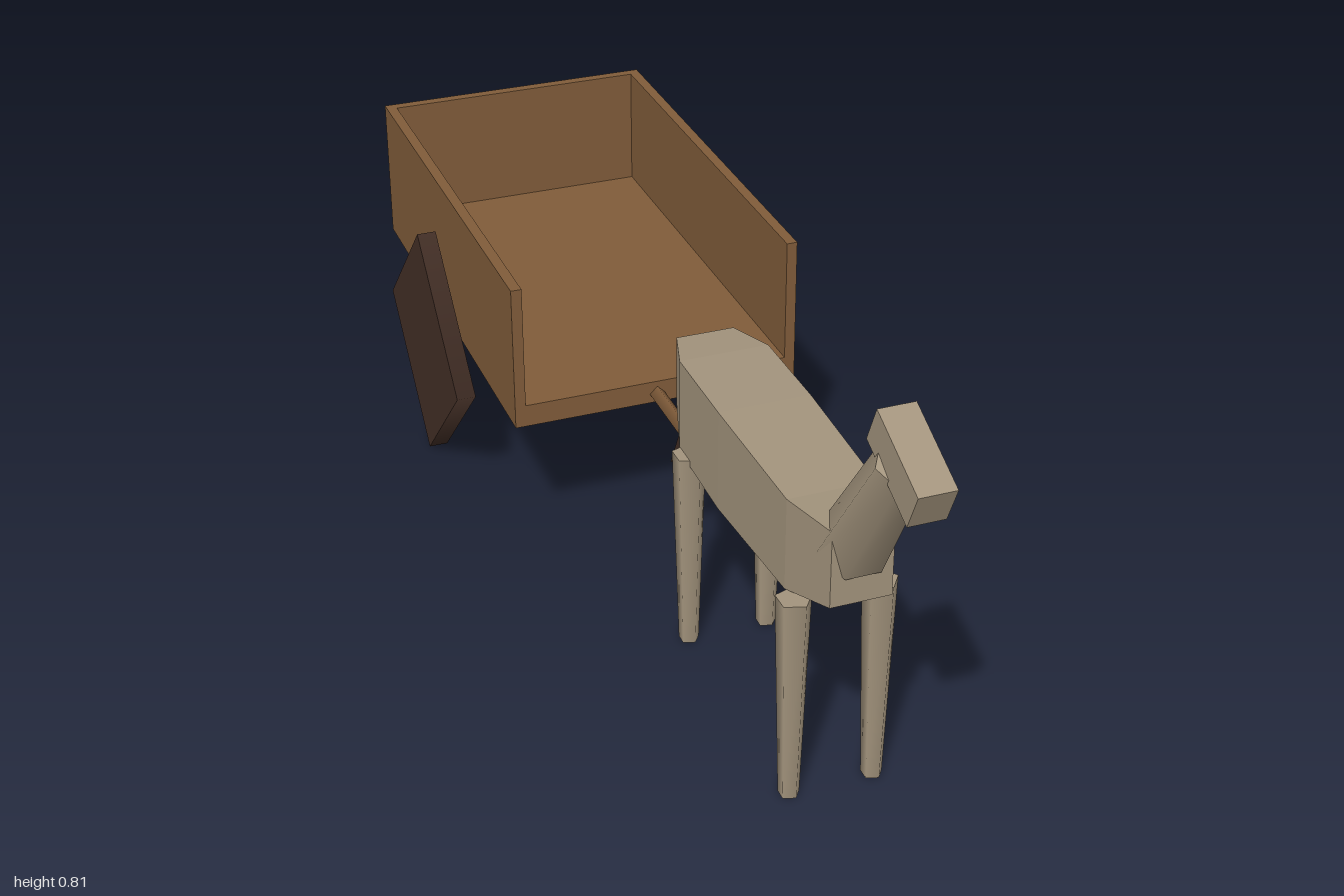
import * as THREE from 'three';

const material = (name, color) => {
  const m = new THREE.MeshStandardMaterial({ color });
  m.name = name;
  return m;
};

// Lofts rectangular sections [z, halfWidth, bottom, top] from back to front
function loftBoxes(sections) {
  const rings = sections.map(([z, w, b, t]) => [[-w, b, z], [w, b, z], [w, t, z], [-w, t, z]]);
  const points = [];
  const quad = (a, b, c, d) => points.push(...a, ...b, ...c, ...a, ...c, ...d);
  for (let i = 0; i < rings.length - 1; i++) {
    for (let k = 0; k < 4; k++) {
      const n = (k + 1) % 4;
      quad(rings[i][k], rings[i][n], rings[i + 1][n], rings[i + 1][k]);
    }
  }
  quad(...rings[0].slice().reverse());
  quad(...rings[rings.length - 1]);
  const geometry = new THREE.BufferGeometry();
  geometry.setAttribute('position', new THREE.Float32BufferAttribute(points, 3));
  geometry.computeVertexNormals();
  return geometry;
}

export function createModel() {
  const root = new THREE.Group();
  root.name = 'horseAndCart';
  const coat = material('coat', 0xa3947d);
  const wood = material('wood', 0x805c3a);
  const dark = material('darkBrown', 0x432f26);

  const add = (parent, name, geometry, mat, x, y, z) => {
    const mesh = new THREE.Mesh(geometry, mat);
    mesh.name = name;
    mesh.position.set(x, y, z);
    parent.add(mesh);
    return mesh;
  };
  // Tapered rod in the x = 0 plane between two [y, z] points
  const rod = (parent, name, from, to, r0, r1, sides, mat, turn = 0) => {
    const dy = to[0] - from[0], dz = to[1] - from[1];
    const geometry = new THREE.CylinderGeometry(r1, r0, Math.hypot(dy, dz), sides, 1, false, turn);
    const mesh = add(parent, name, geometry, mat, 0, (from[0] + to[0]) / 2, (from[1] + to[1]) / 2);
    mesh.rotation.x = Math.atan2(dz, dy);
  };

  // Horse
  const horse = new THREE.Group();
  horse.name = 'horse';
  root.add(horse);
  add(horse, 'body', loftBoxes([
    [0.11, 0.052, 0.415, 0.543],
    [0.2, 0.08, 0.373, 0.55],
    [0.38, 0.081, 0.367, 0.55],
    [0.65, 0.075, 0.38, 0.545],
    [0.77, 0.052, 0.416, 0.553],
  ]), coat, 0, 0, 0);
  rod(horse, 'neck', [0.494, 0.731], [0.732, 0.888], 0.06, 0.044, 6, coat, Math.PI / 6);
  add(horse, 'head', new THREE.BoxGeometry(0.062, 0.072, 0.156), coat, 0, 0.745, 0.914).rotation.x = 0.43;
  rod(horse, 'tail', [0.437, 0.106], [0.218, -0.011], 0.0185, 0.0185, 4, dark);
  const leg = new THREE.CylinderGeometry(0.0305, 0.0185, 0.383, 5, 1, false, Math.PI / 2);
  for (const [end, z] of [['front', 0.682], ['back', 0.226]]) {
    for (const [side, x] of [['Left', 0.0745], ['Right', -0.0725]]) {
      add(horse, end + side + 'Leg', leg, coat, x, 0.1915, z);
    }
  }

  // Cart, open at the front
  const cart = new THREE.Group();
  cart.name = 'cart';
  root.add(cart);
  add(cart, 'floor', new THREE.BoxGeometry(0.546, 0.043, 0.87), wood, 0, 0.2965, -0.565);
  add(cart, 'backWall', new THREE.BoxGeometry(0.506, 0.237, 0.02), wood, 0, 0.4365, -0.99);
  const wheel = new THREE.CylinderGeometry(0.237, 0.237, 0.036, 4).rotateZ(Math.PI / 2);
  for (const [side, s] of [['left', 1], ['right', -1]]) {
    add(cart, side + 'Wall', new THREE.BoxGeometry(0.02, 0.237, 0.87), wood, s * 0.263, 0.4365, -0.565);
    add(cart, side + 'Wheel', wheel, dark, s * 0.31, 0.237, -0.565);
  }
  rod(cart, 'shaft', [0.293, -0.13], [0.293, 0.53], 0.0145, 0.0145, 4, wood);

  return root;
}
